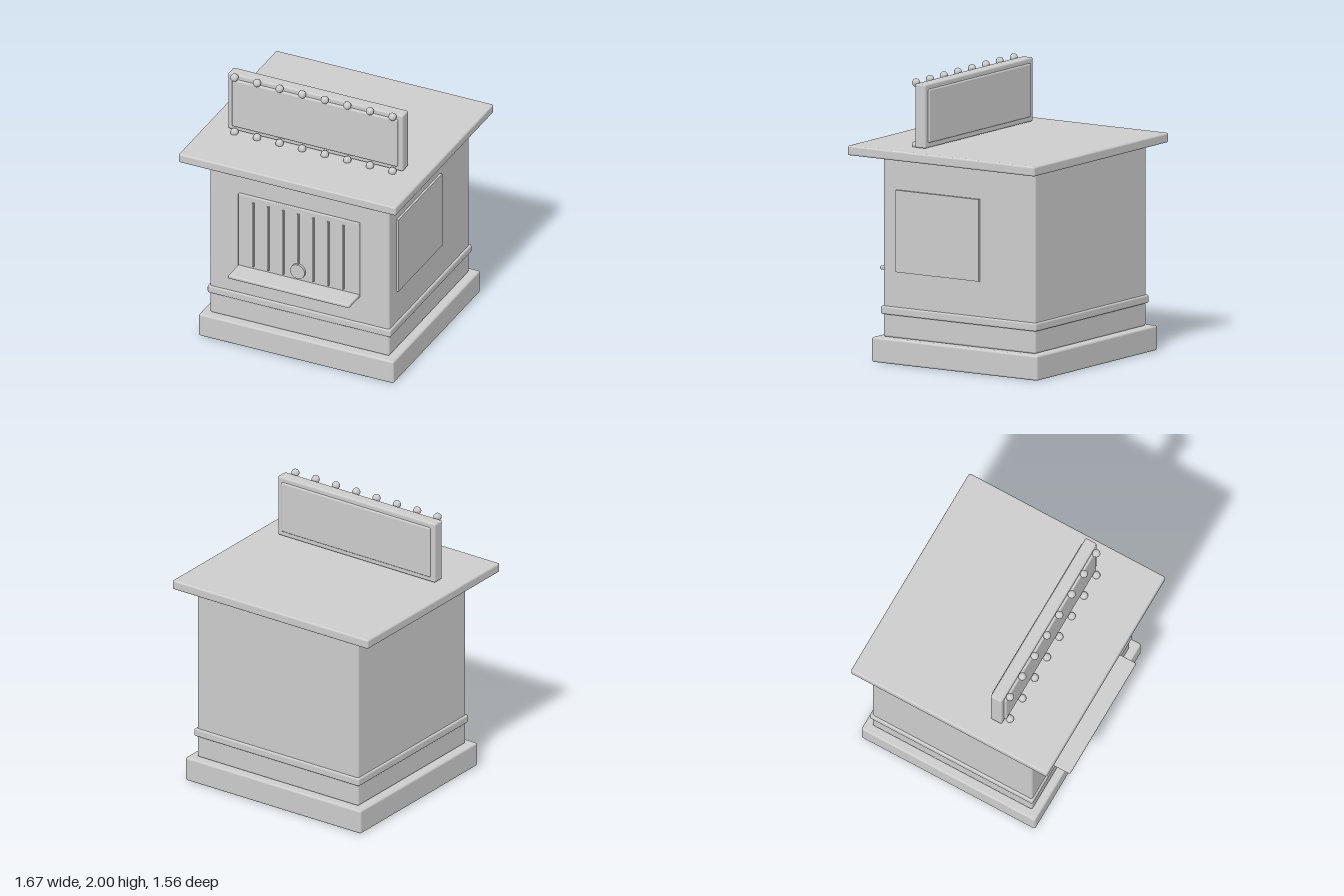
import * as THREE from 'three';
import { RoundedBoxGeometry } from 'three/addons/geometries/RoundedBoxGeometry.js';

export function createModel() {
  const model = new THREE.Group();
  model.name = 'ticketBooth';
  const grey = new THREE.MeshStandardMaterial({ color: 0xcccccc });
  grey.name = 'light grey';

  const add = (name, geometry, x = 0, y = 0, z = 0, parent = model) => {
    const mesh = new THREE.Mesh(geometry, grey);
    mesh.name = name;
    mesh.position.set(x, y, z);
    parent.add(mesh);
    return mesh;
  };
  // Box given by its lower and upper corners, with optional softened edges
  const block = (name, [x0, y0, z0], [x1, y1, z1], bevel = 0, parent = model) => {
    const size = [x1 - x0, y1 - y0, z1 - z0];
    const geometry = bevel
      ? new RoundedBoxGeometry(...size, 2, bevel)
      : new THREE.BoxGeometry(...size);
    return add(name, geometry, (x0 + x1) / 2, (y0 + y1) / 2, (z0 + z1) / 2, parent);
  };

  // Booth
  block('base', [-0.75, 0, -0.745], [0.75, 0.176, 0.637], 0.015);
  block('body', [-0.69, 0.176, -0.69], [0.69, 1.45, 0.58], 0.015);
  block('trimBand', [-0.705, 0.336, -0.705], [0.705, 0.394, 0.592], 0.012);
  block('roof', [-0.837, 1.452, -0.78], [0.837, 1.521, 0.78], 0.014);

  // Service window with bars, speaking hole and counter
  const serviceWindow = new THREE.Group();
  serviceWindow.name = 'serviceWindow';
  model.add(serviceWindow);
  block('windowPane', [-0.467, 0.6, 0.57], [0.467, 1.198, 0.596], 0.007, serviceWindow);
  for (let i = -3; i <= 3; i++) {
    const x = i * 0.1157;
    block('windowBar', [x - 0.0065, 0.643, 0.59], [x + 0.0065, 1.157, 0.609], 0, serviceWindow);
  }
  const hole = new THREE.CylinderGeometry(0.056, 0.056, 0.03, 24).rotateX(Math.PI / 2);
  add('speakingHole', hole, 0, 0.699, 0.6, serviceWindow);
  block('counter', [-0.467, 0.598, 0.57], [0.467, 0.626, 0.757], 0.01, serviceWindow);

  // Poster panel on the left wall
  block('sidePanel', [0.68, 0.643, -0.229], [0.707, 1.22, 0.466]);

  // Roof sign with two rows of bulbs
  const sign = new THREE.Group();
  sign.name = 'sign';
  model.add(sign);
  block('signFrame', [-0.673, 1.526, 0.239], [0.673, 1.976, 0.328], 0.013, sign);
  block('signPanel', [-0.637, 1.562, 0.228], [0.637, 1.94, 0.346], 0.013, sign);
  const bulb = new THREE.SphereGeometry(0.029, 10, 8);
  for (const y of [1.532, 1.971]) {
    for (let i = 0; i < 8; i++) {
      add('bulb', bulb, -0.608 + i * 0.1737, y, 0.359, sign);
    }
  }
  return model;
}
